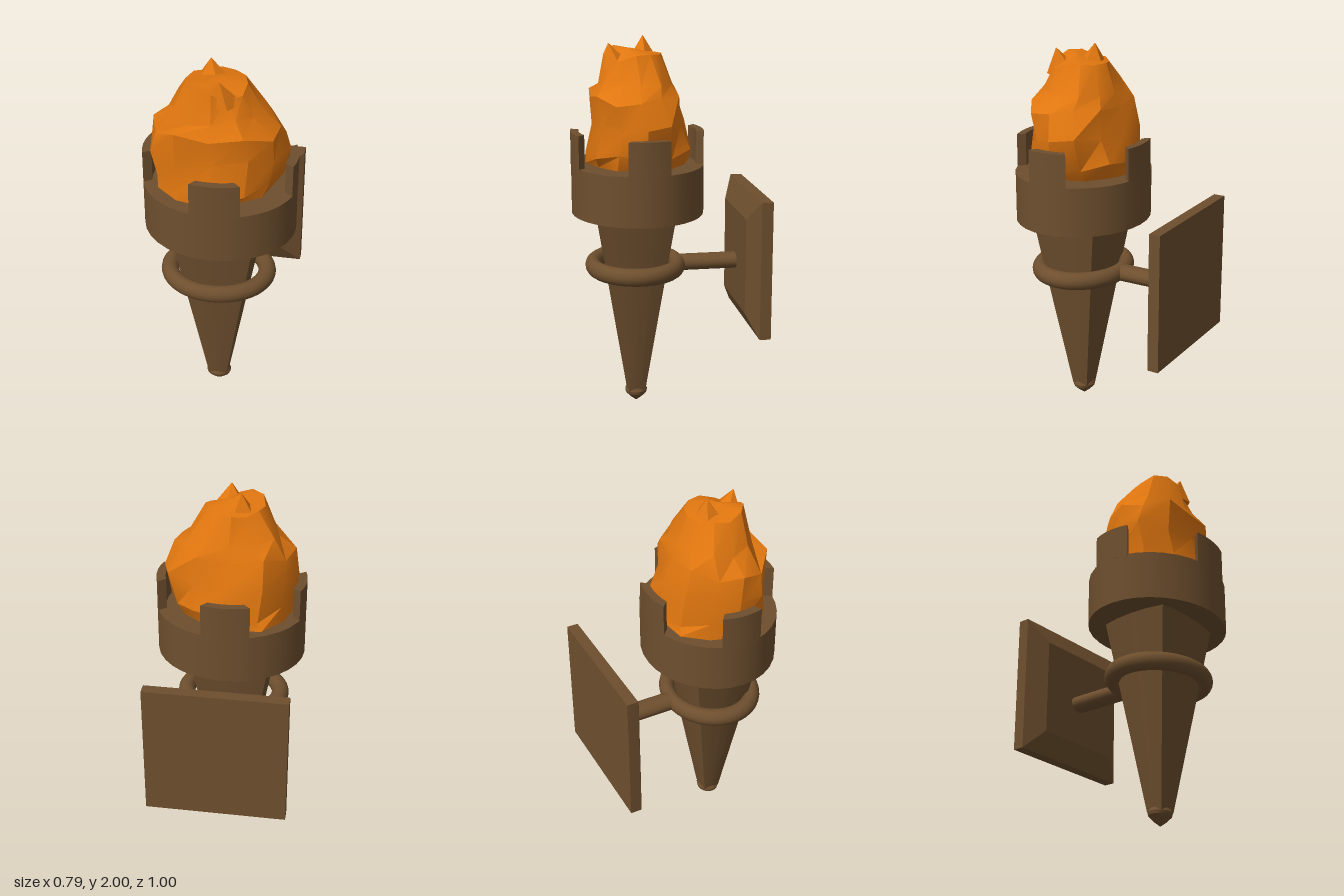
import * as THREE from 'three';
import { toCreasedNormals } from 'three/addons/utils/BufferGeometryUtils.js';

const bronze = new THREE.MeshStandardMaterial({ color: 0x6e4f2e });
bronze.name = 'bronze brown';
const fire = new THREE.MeshStandardMaterial({ color: 0xe0760f });
fire.name = 'flame orange';

const AX = -0.0125, AZ = 0.1625; // axis of the handle
const CUP = { x: -0.003, z: 0.15, rx: 0.395, rz: 0.348 };
const SQUASH = 0.885; // depth relative to width
const deg = THREE.MathUtils.degToRad;

// Skin over equal-length rings of [x, y, z], listed bottom to top, with closed ends
function loft(rings, crease, topPoint) {
  const n = rings[0].length, pos = [];
  const mean = r => [0, 1, 2].map(k => r.reduce((s, p) => s + p[k], 0) / n);
  const low = rings[0], high = rings[rings.length - 1];
  const bottom = mean(low), top = topPoint || mean(high);
  for (let j = 0; j < n; j++) {
    const k = (j + 1) % n;
    pos.push(...low[k], ...low[j], ...bottom, ...high[j], ...high[k], ...top);
    for (let i = 0; i + 1 < rings.length; i++) {
      const a = rings[i], b = rings[i + 1];
      pos.push(...a[j], ...a[k], ...b[k], ...a[j], ...b[k], ...b[j]);
    }
  }
  const g = new THREE.BufferGeometry();
  g.setAttribute('position', new THREE.Float32BufferAttribute(pos, 3));
  return toCreasedNormals(g, crease);
}

// Square ring whose sides bulge slightly outwards
function bulgedSquare(y, r) {
  const ring = [], steps = 4, c = 0.89;
  for (let side = 0; side < 4; side++) {
    for (let i = 0; i < steps; i++) {
      const t = -1 + (2 * i) / steps;
      const u = t * c * r, v = r * (1 - (1 - c) * t * t);
      const s = Math.round(Math.sin(side * Math.PI / 2)), k = Math.round(Math.cos(side * Math.PI / 2));
      ring.push([AX + u * k + v * s, y, AZ + (v * k - u * s) * SQUASH]);
    }
  }
  return ring;
}

// Rectangle ring for the wall plate, lying in the x-z plane before it is stood up
function rectangle(y, w, h) {
  return [[-w, y, h], [w, y, h], [w, y, -h], [-w, y, -h]];
}

// Upright block following the rim between two angles
function prongGeometry(from, to) {
  const at = (t, s) => new THREE.Vector2(
    CUP.x + CUP.rx * s * Math.cos(deg(t)), -CUP.z + CUP.rz * s * Math.sin(deg(t)));
  const pts = [], steps = 5;
  for (let i = 0; i <= steps; i++) pts.push(at(from + (to - from) * i / steps, 1));
  for (let i = steps; i >= 0; i--) pts.push(at(from + 3 + (to - from - 6) * i / steps, 0.88));
  const g = new THREE.ExtrudeGeometry(new THREE.Shape(pts), { depth: 0.18, bevelEnabled: false });
  g.rotateX(-Math.PI / 2).translate(0, 1.333, 0);
  return toCreasedNormals(g, deg(30));
}

// Ragged flame body: rings of [y, xMin, xMax, zMin, zMax]
function flameGeometry() {
  let seed = 11;
  const rand = () => (seed = (seed * 16807) % 2147483647) / 2147483647;
  const n = 12;
  const rings = [
    [1.342, -0.335, 0.27, -0.13, 0.42],
    [1.41, -0.335, 0.32, -0.135, 0.42],
    [1.56, -0.355, 0.35, -0.1, 0.385],
    [1.69, -0.335, 0.3, -0.06, 0.395],
    [1.76, -0.245, 0.22, -0.035, 0.35],
    [1.91, -0.17, 0.135, 0.02, 0.32],
  ].map(([y, x0, x1, z0, z1], r) => {
    const ring = [];
    for (let j = 0; j < n; j++) {
      const a = (j / n) * Math.PI * 2, cardinal = j % 3 === 0;
      const s = cardinal ? 1 : 0.93 + rand() * 0.16;
      const dy = r === 0 || cardinal ? 0 : (rand() - 0.5) * 0.07;
      ring.push([
        (x0 + x1) / 2 + (x1 - x0) / 2 * s * Math.sin(a), y + dy,
        (z0 + z1) / 2 + (z1 - z0) / 2 * s * Math.cos(a)]);
    }
    return ring;
  });
  return loft(rings, deg(28), [-0.01, 1.94, 0.19]);
}

// Small faceted flame tip
function tipGeometry(apex, base, r) {
  const ring = [];
  for (let j = 0; j < 5; j++) {
    const a = (j / 5) * Math.PI * 2 + 0.4;
    ring.push([base[0] + r * Math.sin(a), base[1], base[2] + r * Math.cos(a) * 0.8]);
  }
  return loft([ring], deg(20), apex);
}

export function createModel() {
  const group = new THREE.Group();
  const add = (name, geometry, material = bronze) => {
    const mesh = new THREE.Mesh(geometry, material);
    mesh.name = name;
    group.add(mesh);
    return mesh;
  };

  // Wall plate with bevelled front
  const plate = loft([
    rectangle(-0.5, 0.37, 0.368),
    rectangle(-0.44, 0.37, 0.368),
    rectangle(-0.385, 0.255, 0.255),
  ], deg(10));
  plate.rotateX(Math.PI / 2).translate(-0.011, 0.812, 0);
  add('wallPlate', plate);

  // Arm from plate to ring
  const arm = new THREE.CylinderGeometry(1, 1, 0.33, 24);
  arm.rotateX(Math.PI / 2).scale(0.057, 0.044, 1).translate(AX, 0.782, -0.235);
  add('arm', arm);

  // Ring around the handle
  const ring = new THREE.TorusGeometry(0.26, 0.047, 16, 40);
  ring.rotateX(Math.PI / 2).scale(1, 1, 0.87).translate(AX, 0.782, AZ);
  add('holderRing', ring);

  // Tapered handle
  add('handle', loft([bulgedSquare(0.07, 0.056), bulgedSquare(1.1, 0.241)], deg(40)));

  // Pointed knob at the foot
  const profile = [[0, 0], [0.035, 0.025], [0.064, 0.052], [0.068, 0.068], [0.06, 0.086], [0.045, 0.094], [0, 0.094]];
  const knob = new THREE.LatheGeometry(profile.map(p => new THREE.Vector2(...p)), 20);
  knob.scale(1, 1, SQUASH).translate(AX, 0, AZ);
  add('footKnob', toCreasedNormals(knob, deg(32)));

  // Cup
  const cup = new THREE.CylinderGeometry(1, 1, 0.26, 32);
  cup.scale(CUP.rx, 1, CUP.rz).translate(CUP.x, 1.21, CUP.z);
  add('cup', cup);

  // Rim prongs: front, right, left, back
  [['frontProng', -104, -67], ['leftProng', -16, 20], ['rightProng', 160, 196], ['backProng', 73.5, 110.5]]
    .forEach(([name, from, to]) => add(name, prongGeometry(from, to)));

  // Flame and its two tips
  add('flame', flameGeometry(), fire);
  add('rearFlameTip', tipGeometry([-0.055, 2, 0.11], [-0.04, 1.87, 0.12], 0.11), fire);
  add('frontFlameTip', tipGeometry([0.02, 1.97, 0.3], [0.02, 1.84, 0.25], 0.11), fire);

  return group;
}
